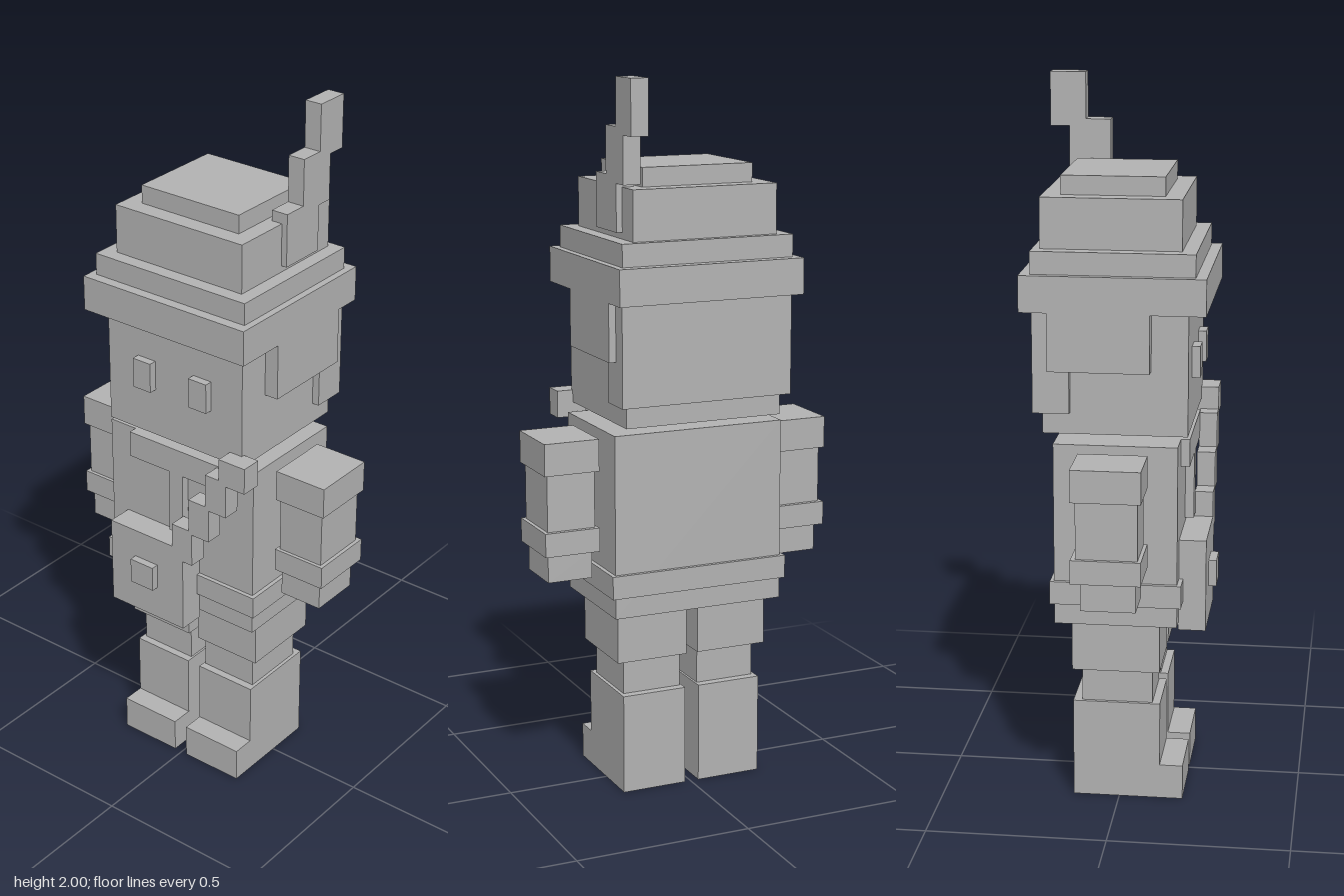
import * as THREE from 'three';

const grey = new THREE.MeshStandardMaterial({ color: 0xb2b2b2 });
grey.name = 'grey';

const MID = -0.003; // mirror plane of the figure

// Box given by its extents along x, y and z
function block(parent, name, [x0, x1], [y0, y1], [z0, z1]) {
  const mesh = new THREE.Mesh(new THREE.BoxGeometry(x1 - x0, y1 - y0, z1 - z0), grey);
  mesh.position.set((x0 + x1) / 2, (y0 + y1) / 2, (z0 + z1) / 2);
  mesh.name = name;
  parent.add(mesh);
}

// Box centred on the mirror plane, given by its half width
function centred(parent, name, half, y, z) {
  block(parent, name, [MID - half, MID + half], y, z);
}

// Left and right copies; x is measured outward from the mirror plane
function pair(parent, name, [x0, x1], y, z) {
  block(parent, name + 'Left', [MID + x0, MID + x1], y, z);
  block(parent, name + 'Right', [MID - x1, MID - x0], y, z);
}

function section(model, name) {
  const group = new THREE.Group();
  group.name = name;
  model.add(group);
  return group;
}

export function createModel() {
  const model = new THREE.Group();
  model.name = 'blockFigure';

  // Legs and boots
  const legs = section(model, 'legs');
  pair(legs, 'boot', [0.021, 0.21], [0, 0.285], [-0.13, 0.115]);
  pair(legs, 'bootToe', [0.021, 0.21], [0, 0.1], [0.115, 0.18]);
  pair(legs, 'shin', [0.027, 0.2], [0.285, 0.385], [-0.105, 0.093]);
  pair(legs, 'thigh', [0.017, 0.226], [0.385, 0.53], [-0.13, 0.115]);

  // Torso with belt and shirt trim
  const torso = section(model, 'torso');
  centred(torso, 'jacket', 0.251, [0.53, 1.045], [-0.175, 0.165]);
  centred(torso, 'belt', 0.263, [0.59, 0.655], [-0.186, 0.177]);
  centred(torso, 'collar', 0.163, [0.968, 1.045], [0.165, 0.19]);
  centred(torso, 'shirtFront', 0.024, [0.778, 0.968], [0.165, 0.19]);

  // Arms
  const arms = section(model, 'arms');
  pair(arms, 'shoulder', [0.268, 0.427], [0.935, 1.025], [-0.105, 0.085]);
  pair(arms, 'sleeve', [0.277, 0.416], [0.775, 0.935], [-0.092, 0.075]);
  pair(arms, 'cuff', [0.268, 0.427], [0.708, 0.775], [-0.105, 0.085]);
  pair(arms, 'hand', [0.282, 0.411], [0.628, 0.708], [-0.08, 0.07]);

  // Satchel with a stepped shoulder strap
  const satchel = section(model, 'satchel');
  block(satchel, 'bag', [-0.2, 0.06], [0.505, 0.767], [0.163, 0.24]);
  block(satchel, 'buckle', [-0.112, -0.032], [0.607, 0.682], [0.24, 0.262]);
  for (let i = 0; i < 3; i++) {
    const x = 0.023 + i * 0.059, y = 0.73 + i * 0.1;
    block(satchel, 'strapStep', [x, x + 0.07], [y, y + 0.11], [0.188, 0.24]);
  }
  block(satchel, 'strapTop', [0.187, 0.274], [1.028, 1.105], [0.18, 0.24]);

  // Head, eyes and hair
  const head = section(model, 'head');
  centred(head, 'face', 0.23, [1.07, 1.41], [-0.206, 0.19]);
  pair(head, 'eye', [0.066, 0.126], [1.21, 1.297], [0.19, 0.213]);
  pair(head, 'sideHair', [0.225, 0.271], [1.25, 1.41], [-0.186, 0.09]);
  centred(head, 'backHair', 0.251, [1.13, 1.41], [-0.23, -0.13]);

  // Tiered hat
  const hat = section(model, 'hat');
  centred(hat, 'brim', 0.271, [1.41, 1.51], [-0.262, 0.24]);
  centred(hat, 'hatBand', 0.251, [1.51, 1.572], [-0.233, 0.21]);
  centred(hat, 'crown', 0.211, [1.572, 1.71], [-0.212, 0.17]);
  centred(hat, 'crownTop', 0.162, [1.71, 1.762], [-0.162, 0.12]);

  // Feather rising backward from the hat
  const feather = section(model, 'feather');
  block(feather, 'featherBase', [0.175, 0.225], [1.59, 1.74], [-0.14, 0]);
  block(feather, 'featherMiddle', [0.175, 0.225], [1.72, 1.87], [-0.187, -0.07]);
  block(feather, 'featherTip', [0.175, 0.225], [1.85, 2], [-0.24, -0.14]);

  return model;
}
